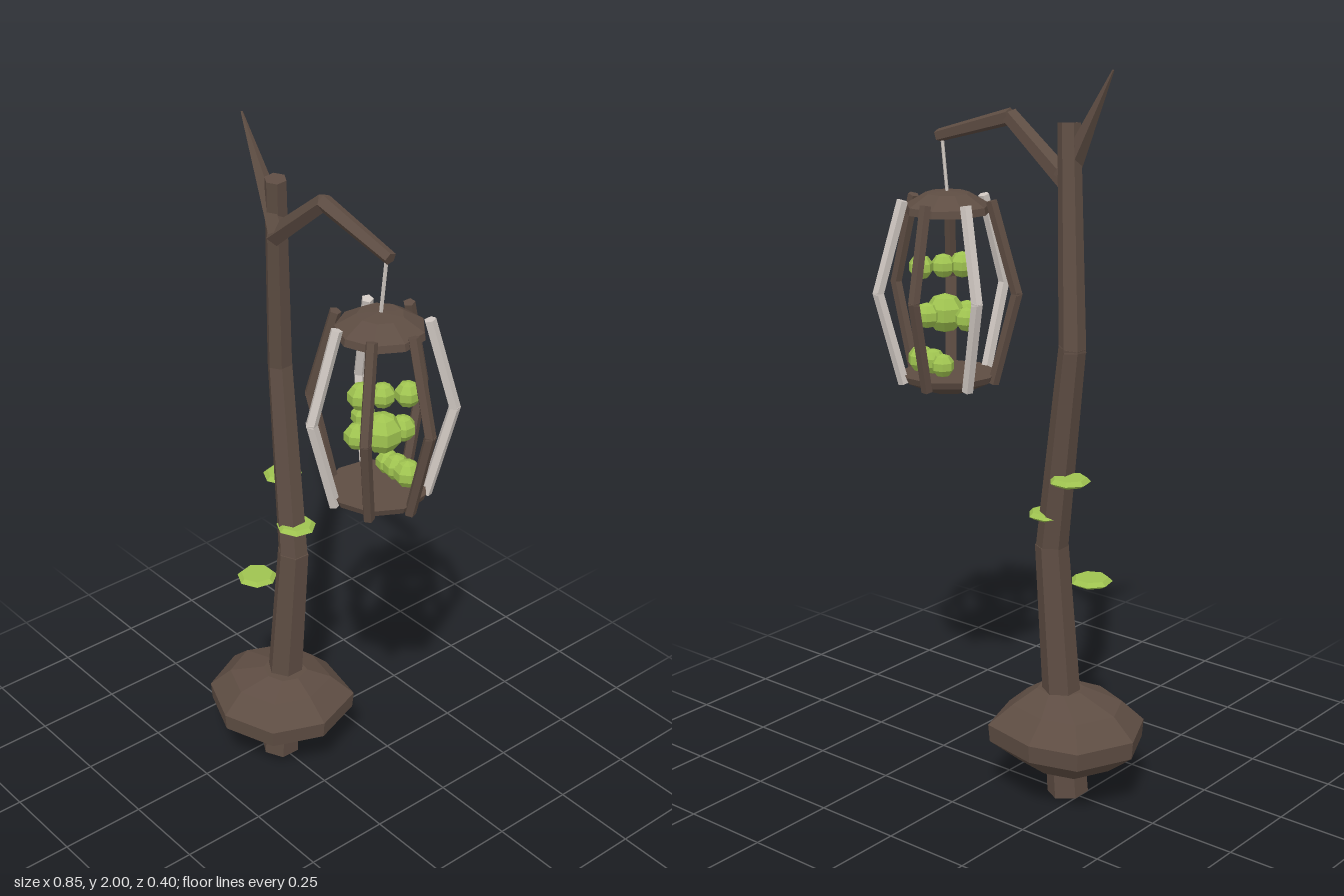
import * as THREE from 'three';

const mat = (name, color) => {
  const m = new THREE.MeshStandardMaterial({ color, flatShading: true });
  m.name = name;
  return m;
};

export function createModel() {
  const bark = mat('bark', 0x5e4d43);
  const bone = mat('bone', 0xcfc7c1);
  const green = mat('glow green', 0x9fc350);
  const underGreen = mat('dark green', 0x3c7a45);
  const root = new THREE.Group();
  root.name = 'lanternPost';

  const add = (name, geo, material, parent = root) => {
    const m = new THREE.Mesh(geo, material);
    m.name = name;
    parent.add(m);
    return m;
  };
  // Tapered stick between two points
  const stick = (name, a, b, ra, rb, sides, material, parent = root) => {
    const p = new THREE.Vector3(...a), q = new THREE.Vector3(...b);
    const d = q.clone().sub(p);
    const m = add(name, new THREE.CylinderGeometry(rb, ra, d.length(), sides), material, parent);
    m.position.copy(p).add(q).multiplyScalar(0.5);
    m.quaternion.setFromUnitVectors(new THREE.Vector3(0, 1, 0), d.normalize());
    return m;
  };

  // Crooked trunk, side branch and spike
  stick('lowerTrunk', [-0.21, 0.002, 0], [-0.165, 0.73, -0.022], 0.057, 0.046, 6, bark);
  stick('middleTrunk', [-0.165, 0.715, -0.022], [-0.25, 1.295, -0.05], 0.044, 0.036, 6, bark);
  stick('upperTrunk', [-0.25, 1.28, -0.05], [-0.195, 1.86, 0], 0.036, 0.03, 6, bark);
  stick('spike', [-0.185, 1.72, 0], [-0.33, 2, 0], 0.034, 0.003, 5, bark);
  stick('innerBranch', [-0.2, 1.7, 0], [0, 1.862, 0], 0.028, 0.023, 5, bark);
  stick('outerBranch', [-0.005, 1.86, 0], [0.236, 1.79, -0.01], 0.023, 0.018, 5, bark);

  // Faceted root burl, built from scaled copies of one octagonal outline
  const outline = [[-0.215, 0], [-0.145, -0.155], [-0.01, -0.195], [0.16, -0.16],
    [0.215, 0], [0.155, 0.145], [0, 0.2], [-0.15, 0.14]];
  const levels = [[0.105, 0], [0.105, 0.62], [0.165, 0.98], [0.215, 1], [0.272, 0.7], [0.31, 0.3], [0.31, 0]];
  const pos = [], idx = [];
  levels.forEach(([y, s], k) => outline.forEach(([x, z], i) => {
    pos.push(-0.215 + x * s + (k > 4 ? 0.03 : 0), y, z * s);
    if (k === 0) return;
    const j = (i + 1) % 8, a = (k - 1) * 8;
    idx.push(a + i, a + 8 + i, a + j, a + j, a + 8 + i, a + 8 + j);
  }));
  // The outline runs clockwise, so each triangle is turned to face outward
  for (let t = 0; t < idx.length; t += 3) {
    const [A, B, C] = [0, 1, 2].map(n => new THREE.Vector3().fromArray(pos, idx[t + n] * 3));
    const normal = B.clone().sub(A).cross(C.clone().sub(A));
    const out = A.clone().add(B).add(C).divideScalar(3).sub(new THREE.Vector3(-0.215, 0.2, 0));
    if (normal.dot(out) < 0) [idx[t + 1], idx[t + 2]] = [idx[t + 2], idx[t + 1]];
  }
  const burl = new THREE.BufferGeometry();
  burl.setAttribute('position', new THREE.Float32BufferAttribute(pos, 3));
  burl.setIndex(idx);
  burl.computeVertexNormals();
  add('rootBurl', burl, bark);

  // Shelf fungi with dark undersides
  [[-0.248, 0.933, -0.053, 0.056], [-0.158, 0.815, -0.028, 0.057], [-0.25, 0.625, 0.044, 0.058]]
    .forEach(([x, y, z, r]) => {
      const g = new THREE.Group();
      g.name = 'shelfFungus';
      g.position.set(x, y, z);
      add('fungusTop', new THREE.CylinderGeometry(r * 0.8, r, 0.011, 7), green, g).position.y = 0.005;
      add('fungusUnderside', new THREE.CylinderGeometry(r, r * 0.75, 0.009, 7), [green, green, underGreen], g)
        .position.y = -0.005;
      root.add(g);
    });

  // Hanging lantern cage
  stick('cord', [0.228, 1.79, -0.005], [0.215, 1.63, 0], 0.005, 0.005, 5, bone);
  const cage = new THREE.Group();
  cage.name = 'cage';
  cage.position.x = 0.215;
  root.add(cage);
  const lathe = pts => new THREE.LatheGeometry(pts.map(p => new THREE.Vector2(...p)), 9);
  add('topCap', lathe([[0, 1.585], [0.118, 1.585], [0.115, 1.605], [0.06, 1.638], [0, 1.643]]), bark, cage);
  add('bottomCap', lathe([[0, 1.088], [0.062, 1.092], [0.125, 1.122], [0.132, 1.14], [0, 1.14]]), bark, cage);

  // Seven bent ribs, alternating bark and bone
  for (let i = 0; i < 7; i++) {
    const a = i / 7 * Math.PI * 2;
    const at = (r, y) => [Math.cos(a) * r, y, -Math.sin(a) * r];
    const m = i % 2 ? bone : bark;
    stick('lowerRib', at(0.126, 1.115), at(0.193, 1.375), 0.016, 0.016, 5, m, cage);
    stick('upperRib', at(0.193, 1.365), at(0.122, 1.62), 0.016, 0.016, 5, m, cage);
  }

  // Glowing berries in three layers
  [[0.22, 1.43, 0.065, 0.037], [0.285, 1.43, -0.033, 0.035], [0.25, 1.43, 0.02, 0.034],
    [0.228, 1.305, 0, 0.055], [0.132, 1.305, -0.02, 0.034], [0.195, 1.3, 0.055, 0.036], [0.245, 1.305, -0.055, 0.036],
    [0.185, 1.175, -0.06, 0.033], [0.225, 1.18, -0.055, 0.036], [0.268, 1.18, -0.055, 0.038]]
    .forEach(([x, y, z, r]) => add('berry', new THREE.SphereGeometry(r, 7, 5), green).position.set(x, y, z));

  return root;
}
